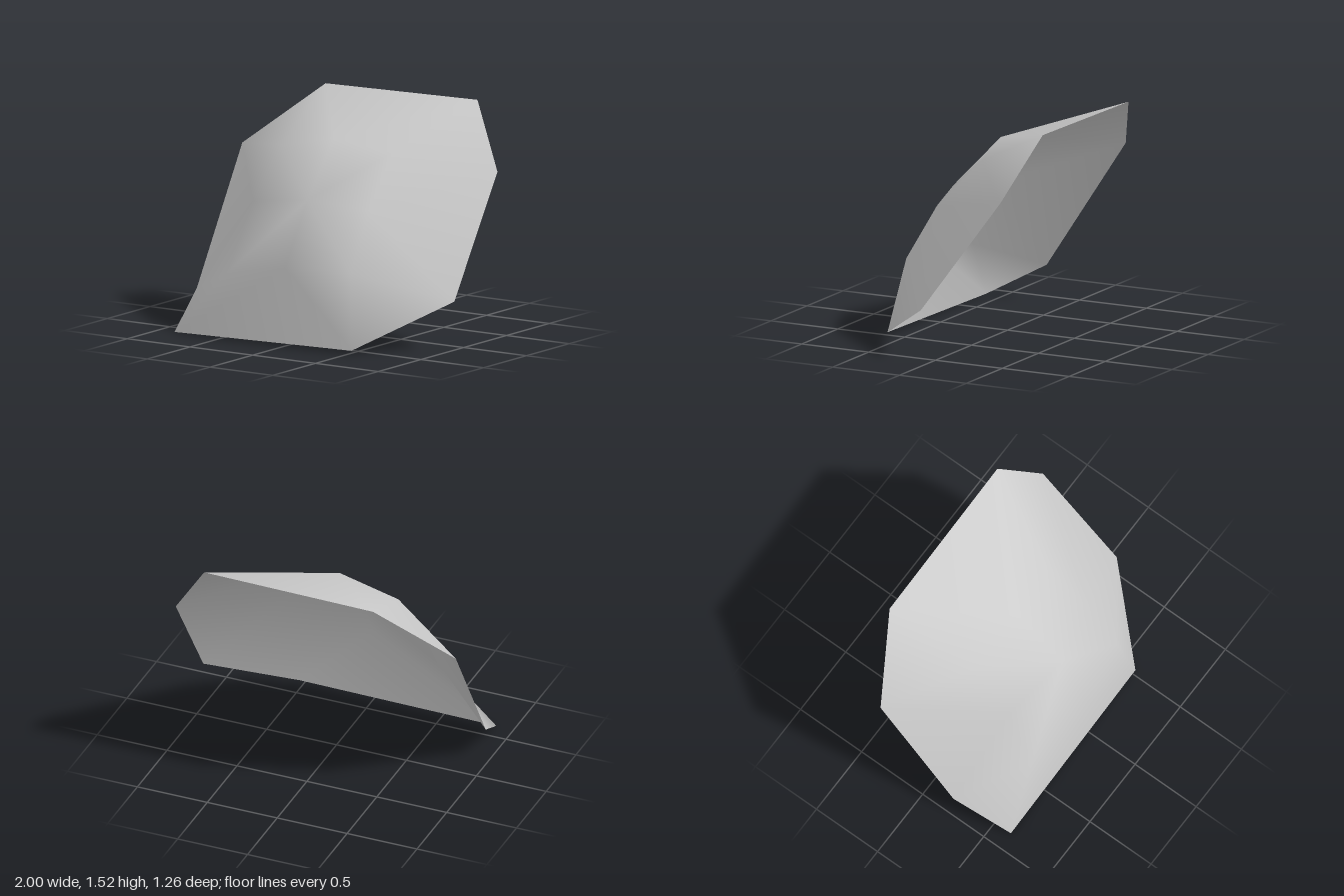
import * as THREE from 'three';

export function createModel() {
  const group = new THREE.Group();
  group.name = 'curvedShell';
  const grey = new THREE.MeshStandardMaterial({ color: 0xcccccc, side: THREE.DoubleSide });
  grey.name = 'light grey';

  // outer rim, counter-clockwise seen from the front
  const rim = [
    [-0.525, 1.505, -0.622], [-1.0, 1.10, -0.345], [-0.97, 0.22, 0.23], [-0.875, 0.0, 0.63],
    [0.525, 0.025, 0.615], [1.0, 0.325, 0.11], [0.955, 1.10, -0.46], [0.68, 1.525, -0.63],
  ];
  // raised inner ring in the same order
  const ring = [
    [-0.43, 1.21, 0.03], [-0.47, 0.87, 0.31], [-0.52, 0.42, 0.54], [0.0, 0.525, 0.62],
    [0.45, 0.52, 0.515], [0.44, 0.90, 0.29], [0.41, 1.235, -0.03], [0.0, 1.30, 0.05],
  ];
  const crown = [0.02, 0.945, 0.39];

  // stitch rim to ring, then fan the ring to the crown
  const n = rim.length;
  const index = [];
  for (let i = 0; i < n; i++) {
    const j = (i + 1) % n;
    index.push(i, j, n + i);
    index.push(j, n + j, n + i);
    index.push(2 * n, n + i, n + j);
  }
  const geometry = new THREE.BufferGeometry();
  geometry.setAttribute('position', new THREE.Float32BufferAttribute([...rim, ...ring, crown].flat(), 3));
  geometry.setIndex(index);
  geometry.computeVertexNormals();

  const shell = new THREE.Mesh(geometry, grey);
  shell.name = 'shell';
  group.add(shell);
  return group;
}
